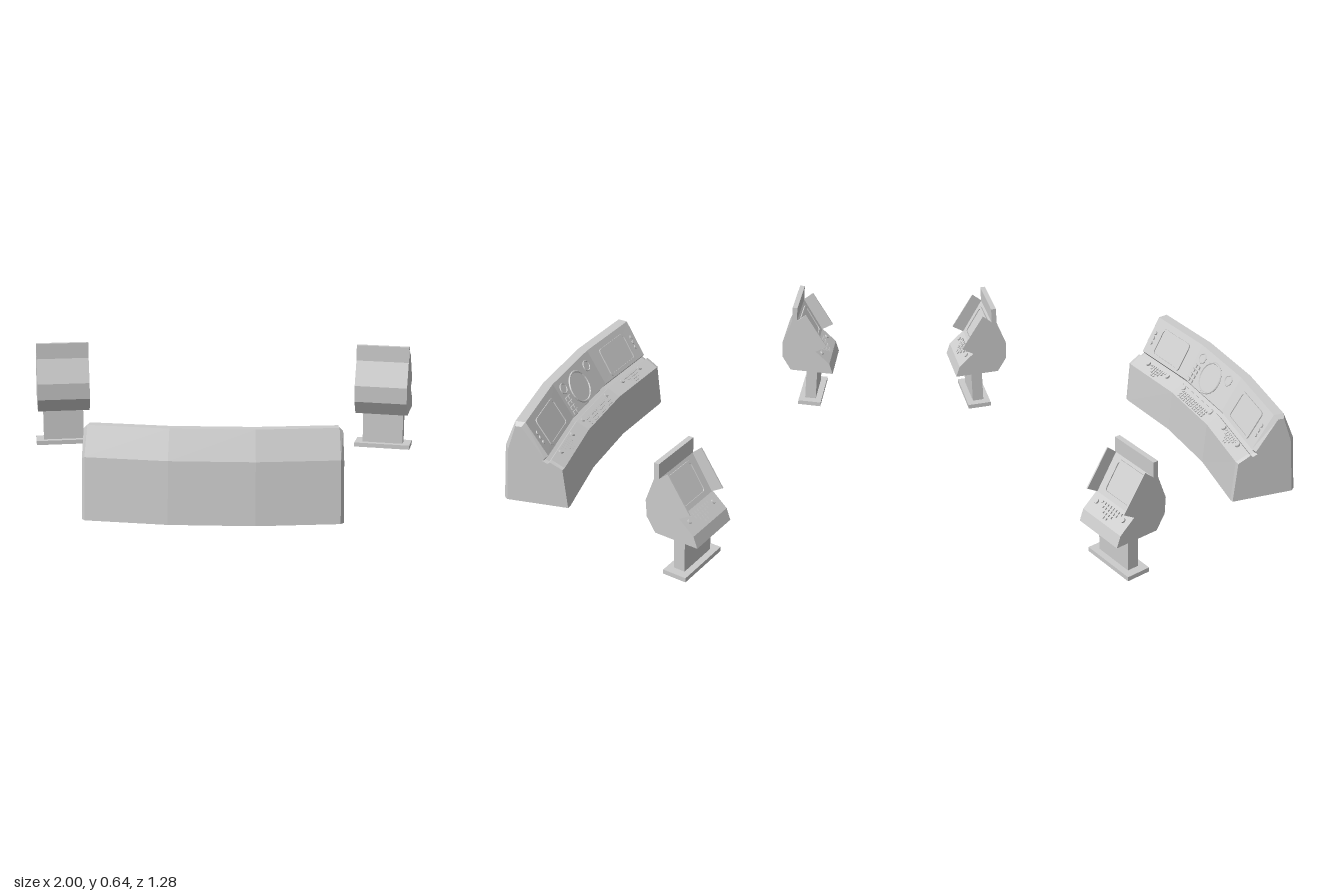
import * as THREE from 'three';

const material = new THREE.MeshStandardMaterial({ color: 0xcccccc, flatShading: true, side: THREE.DoubleSide });

function add(parent, name, geometry, x = 0, y = 0, z = 0) {
  const mesh = new THREE.Mesh(geometry, material);
  mesh.name = name;
  mesh.position.set(x, y, z);
  parent.add(mesh);
  return mesh;
}

// Extrude a [z, y] outline along x, centred
function slab(points, width) {
  const shape = new THREE.Shape(points.map(([z, y]) => new THREE.Vector2(-z, y)));
  return new THREE.ExtrudeGeometry(shape, { depth: width, bevelEnabled: false })
    .translate(0, 0, -width / 2).rotateY(Math.PI / 2);
}

// Group lying on a sloped face between two [z, y] points: x across, y up the slope, z outward
function slope(parent, name, top, bottom, x = 0, yaw = 0, dz = 0) {
  const g = new THREE.Group();
  g.name = name;
  g.position.set(x, (top[1] + bottom[1]) / 2, (top[0] + bottom[0]) / 2 + dz);
  g.rotation.order = 'YXZ';
  g.rotation.set(-Math.atan2(top[0] - bottom[0], top[1] - bottom[1]), Math.PI + yaw, 0);
  parent.add(g);
  return g;
}

function roundRect(target, w, h, r) {
  const x = w / 2, y = h / 2;
  target.moveTo(-x + r, -y);
  target.lineTo(x - r, -y).quadraticCurveTo(x, -y, x, -y + r);
  target.lineTo(x, y - r).quadraticCurveTo(x, y, x - r, y);
  target.lineTo(-x + r, y).quadraticCurveTo(-x, y, -x, y - r);
  target.lineTo(-x, -y + r).quadraticCurveTo(-x, -y, -x + r, -y);
  return target;
}

function screen(parent, w, h, x, y) {
  const frame = roundRect(new THREE.Shape(), w, h, 0.02);
  frame.holes.push(roundRect(new THREE.Path(), w - 0.024, h - 0.024, 0.014));
  add(parent, 'screenFrame', new THREE.ExtrudeGeometry(frame, { depth: 0.007, bevelEnabled: false, curveSegments: 4 }), x, y, 0);
  add(parent, 'screenGlass', new THREE.ShapeGeometry(roundRect(new THREE.Shape(), w - 0.024, h - 0.024, 0.014), 4), x, y, 0.002);
}

function dial(parent, r, x, y) {
  add(parent, 'dialRim', new THREE.TorusGeometry(r, r > 0.05 ? 0.006 : 0.004, 6, 24), x, y, 0.003);
  add(parent, 'dialFace', new THREE.CircleGeometry(r, 24), x, y, 0.003);
}

function knob(parent, r, x, y, height = 0.008) {
  add(parent, 'knob', new THREE.CylinderGeometry(r, r, height, 10).rotateX(Math.PI / 2), x, y, height / 2);
}

function keys(parent, columns, rows, dx, dy, x, y) {
  for (let i = 0; i < columns; i++) for (let j = 0; j < rows; j++) {
    add(parent, 'key', new THREE.BoxGeometry(dx * 0.7, dy * 0.65, 0.008),
      x + (i - (columns - 1) / 2) * dx, y + (j - (rows - 1) / 2) * dy, 0.003);
  }
}

// Rows of keys that narrow towards the operator's far side
function keyFan(parent, dx, dy) {
  [8, 6, 4, 2].forEach((n, j) => keys(parent, n, 1, dx, dy, 0, (1.5 - j) * dy));
}

// Hollow shell lofted over bent stations, open underneath
function consoleShell(profile, endRim, endFace) {
  const half = [
    profile.map(([z, y]) => [0.2 + 0.07 * (z - 0.6), y, z]),
    endRim.map(([z, y]) => [0.595 + 0.15 * (z - 0.59), y, z]),
    endFace.map(([z, y]) => [0.61 + 0.15 * (z - 0.57), y, z]),
  ];
  const mirrored = half.map(s => s.map(([x, y, z]) => [-x, y, z])).reverse();
  const stations = [...mirrored, ...half];
  const pos = [];
  for (let i = 0; i < stations.length - 1; i++) for (let j = 0; j < profile.length - 1; j++) {
    const a = stations[i][j], b = stations[i + 1][j], c = stations[i + 1][j + 1], d = stations[i][j + 1];
    pos.push(...a, ...b, ...c, ...a, ...c, ...d);
  }
  const tris = THREE.ShapeUtils.triangulateShape(endFace.map(p => new THREE.Vector2(...p)), []);
  for (const [a, b, c] of tris) {
    pos.push(...stations[0][a], ...stations[0][b], ...stations[0][c]);
    pos.push(...half[2][a], ...half[2][c], ...half[2][b]);
  }
  const g = new THREE.BufferGeometry();
  g.setAttribute('position', new THREE.Float32BufferAttribute(pos, 3));
  g.computeVertexNormals();
  return g;
}

function controlConsole() {
  const g = new THREE.Group();
  g.name = 'controlConsole';
  const profile = [[0.64, 0], [0.62, 0.3], [0.565, 0.44], [0.515, 0.44], [0.41, 0.27],
    [0.425, 0.25], [0.405, 0.24], [0.395, 0.25], [0.33, 0.215], [0.31, 0]];
  const endRim = profile.map(([z, y]) => [z - 0.05, y]);
  const endFace = [[0.57, 0], [0.55, 0.29], [0.508, 0.422], [0.478, 0.422], [0.372, 0.262],
    [0.382, 0.248], [0.358, 0.236], [0.345, 0.246], [0.284, 0.212], [0.262, 0]];
  add(g, 'consoleShell', consoleShell(profile, endRim, endFace));

  // Centre instruments and keyboard
  const mid = slope(g, 'centrePanel', profile[3], profile[4]);
  dial(mid, 0.08, -0.015, -0.008);
  dial(mid, 0.026, 0.12, 0.045);
  dial(mid, 0.026, -0.14, 0.045);
  keys(mid, 2, 4, 0.028, 0.026, -0.145, -0.045);
  const desk = slope(g, 'centreDesk', profile[7], profile[8]);
  keys(desk, 14, 3, 0.018, 0.016, -0.01, -0.008);
  for (const x of [-0.145, 0.13]) knob(desk, 0.012, x, 0.02);

  // Angled wings
  for (const s of [-1, 1]) {
    const panel = slope(g, 'wingPanel', profile[3], profile[4], s * 0.385, s * 0.13, -0.025);
    screen(panel, 0.235, 0.155, 0.005 * s, -0.012);
    for (let i = -1; i <= 1; i++) knob(panel, 0.01, -s * 0.153, -0.01 + i * 0.028);
    const wingDesk = slope(g, 'wingDesk', profile[7], profile[8], s * 0.375, s * 0.13, -0.024);
    keyFan(wingDesk, 0.017, 0.015);
    for (const x of [-0.085, 0.085]) knob(wingDesk, 0.013, x, 0.018, 0.012);
  }
  return g;
}

function kiosk(s) {
  const g = new THREE.Group();
  g.name = s > 0 ? 'leftKiosk' : 'rightKiosk';
  const width = 0.27;
  const top = [0.07, 0.565], bottom = [-0.035, 0.4], lip = [-0.11, 0.335];
  add(g, 'kioskBody', slab([[0.095, 0.64], [0.07, 0.64], top, bottom, lip, [-0.13, 0.28],
    [0.09, 0.28], [0.135, 0.35], [0.14, 0.435], [0.095, 0.56]], width));
  // Cheeks either side of the screen
  for (const x of [-1, 1]) {
    add(g, 'screenCheek', slab([top, [0.025, 0.605], [-0.09, 0.435], bottom], 0.006), x * (width / 2 - 0.003));
  }
  screen(slope(g, 'kioskScreen', top, bottom), 0.19, 0.165, 0, 0);
  const desk = slope(g, 'kioskDesk', bottom, lip);
  keyFan(desk, 0.019, 0.018);
  for (const x of [-0.095, 0.095]) knob(desk, 0.011, x, 0.012);

  // Hollow post on a base plate with an opening under it
  const post = [[0.105, 0.028], [-0.105, 0.028], [-0.105, -0.028], [0.105, -0.028]];
  const outline = p => p.map(([x, y]) => new THREE.Vector2(x, y));
  const plate = new THREE.Shape(outline([[-0.145, -0.059], [0.145, -0.059], [0.145, 0.059], [-0.145, 0.059]]));
  plate.holes.push(new THREE.Path(outline(post)));
  add(g, 'basePlate', new THREE.ExtrudeGeometry(plate, { depth: 0.022, bevelEnabled: false })
    .rotateX(-Math.PI / 2), 0, 0.085, -0.018);
  for (const e of [-1, 1]) {
    add(g, 'postWall', new THREE.PlaneGeometry(0.21, 0.19).rotateY(e > 0 ? 0 : Math.PI), 0, 0.19, -0.018 + e * 0.028);
    add(g, 'postSide', new THREE.PlaneGeometry(0.056, 0.19).rotateY(e * Math.PI / 2), e * 0.105, 0.19, -0.018);
  }
  g.position.set(s * 0.845, 0, -0.485);
  g.rotation.y = -s * 0.187;
  return g;
}

export function createModel() {
  const model = new THREE.Group();
  model.name = 'controlRoomFurniture';
  model.add(controlConsole(), kiosk(-1), kiosk(1));
  return model;
}
